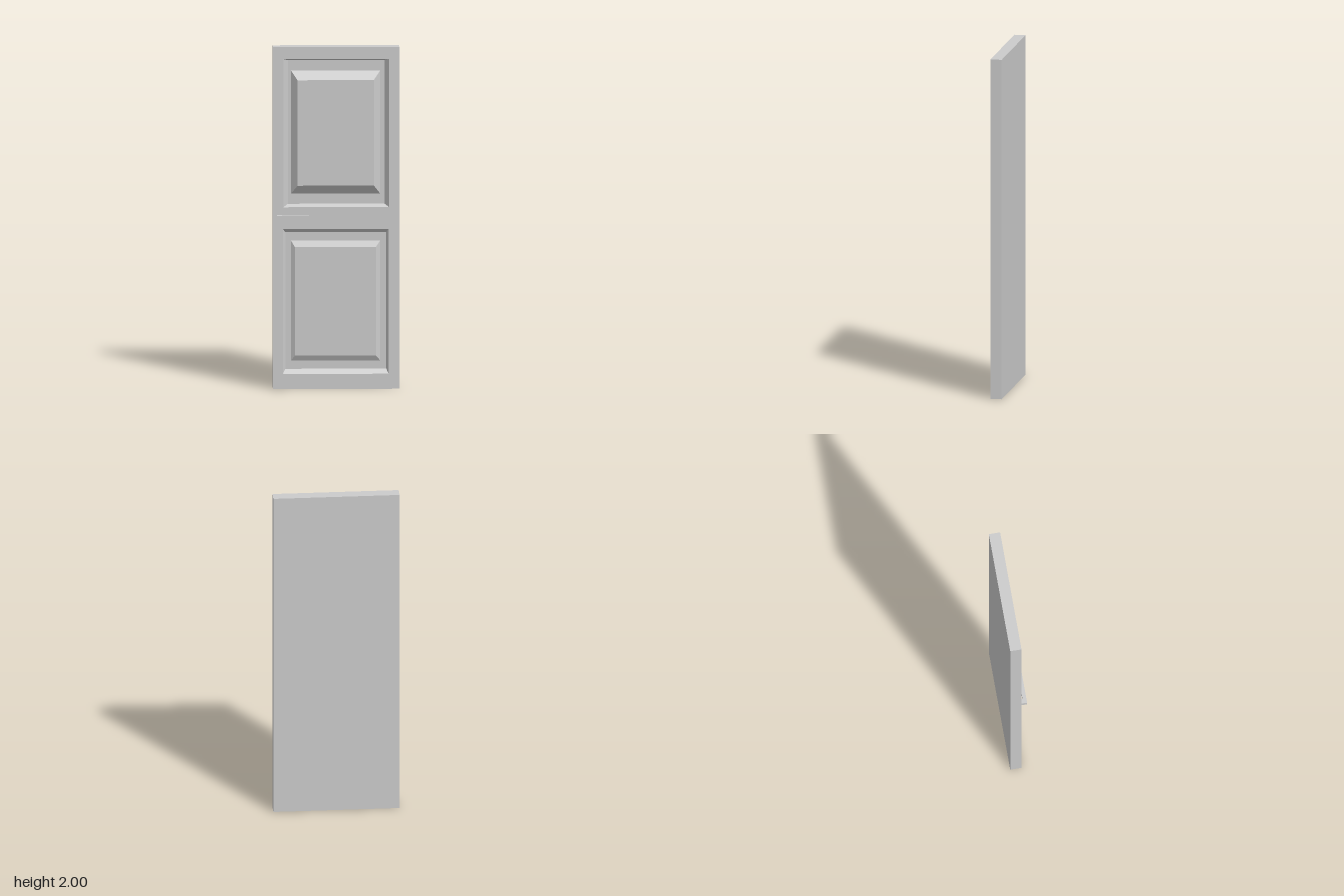
import * as THREE from 'three';

const FRONT = 0.013, BACK = -0.053;
const material = new THREE.MeshStandardMaterial({ color: 0xcccccc, flatShading: true });

// Corners of a rectangle, counter-clockwise seen from the front
const corners = ([x0, x1, y0, y1]) => [[x0, y0], [x1, y0], [x1, y1], [x0, y1]];

// Skin through rectangular rings [x0, x1, y0, y1, z], with optional flat end faces
function loft(rings, capStart, capEnd) {
  const positions = [], index = [];
  rings.forEach((r) => corners(r).forEach(([x, y]) => positions.push(x, y, r[4])));
  for (let i = 0; i < rings.length - 1; i++) {
    for (let j = 0; j < 4; j++) {
      const a = i * 4 + j, b = i * 4 + ((j + 1) % 4);
      index.push(a, b, b + 4, a, b + 4, a + 4);
    }
  }
  const e = (rings.length - 1) * 4;
  if (capStart) index.push(0, 2, 1, 0, 3, 2);
  if (capEnd) index.push(e, e + 1, e + 2, e, e + 2, e + 3);
  const geo = new THREE.BufferGeometry();
  geo.setAttribute('position', new THREE.Float32BufferAttribute(positions, 3));
  geo.setIndex(index);
  const flat = geo.toNonIndexed();
  flat.computeVertexNormals();
  return flat;
}

const path = (rect) => corners(rect).map(([x, y]) => new THREE.Vector2(x, y));

export function createModel() {
  const door = new THREE.Group();
  door.name = 'door';
  const add = (name, geometry) => {
    const mesh = new THREE.Mesh(geometry, material);
    mesh.name = name;
    door.add(mesh);
  };

  // Each panel: opening, recess floor edge, foot of raised field, raised field
  const outline = [-0.365, 0.365, 0, 2];
  const panels = {
    upperPanel: [
      [-0.305, 0.306, 1.063, 1.93, FRONT],
      [-0.278, 0.28, 1.078, 1.918, -0.02],
      [-0.26, 0.255, 1.137, 1.857, -0.02],
      [-0.223, 0.218, 1.19, 1.807, 0.022],
    ],
    lowerPanel: [
      [-0.307, 0.303, 0.088, 0.935, FRONT],
      [-0.293, 0.29, 0.115, 0.914, -0.007],
      [-0.26, 0.255, 0.163, 0.865, -0.007],
      [-0.238, 0.23, 0.195, 0.83, 0.01],
    ],
  };

  // Back and edges of the slab
  add('slab', loft([[...outline, BACK], [...outline, FRONT]], true, false));

  // Front face with the two panel openings
  const face = new THREE.Shape(path(outline));
  Object.values(panels).forEach((rings) => face.holes.push(new THREE.Path(path(rings[0]))));
  add('frontFace', new THREE.ShapeGeometry(face).translate(0, 0, FRONT));

  // Recessed panels with bevelled raised fields
  for (const [name, rings] of Object.entries(panels)) add(name, loft(rings, false, true));

  // L-shaped lever handle, drawn in plan and extruded downwards
  const lever = new THREE.Shape([
    [-0.341, FRONT], [-0.313, FRONT], [-0.313, 0.028],
    [-0.157, 0.028], [-0.157, 0.05], [-0.341, 0.05],
  ].map(([x, z]) => new THREE.Vector2(x, z)));
  const handle = new THREE.ExtrudeGeometry(lever, { depth: 0.028, bevelEnabled: false });
  add('handle', handle.rotateX(Math.PI / 2).translate(0, 1.018, 0));

  return door;
}
